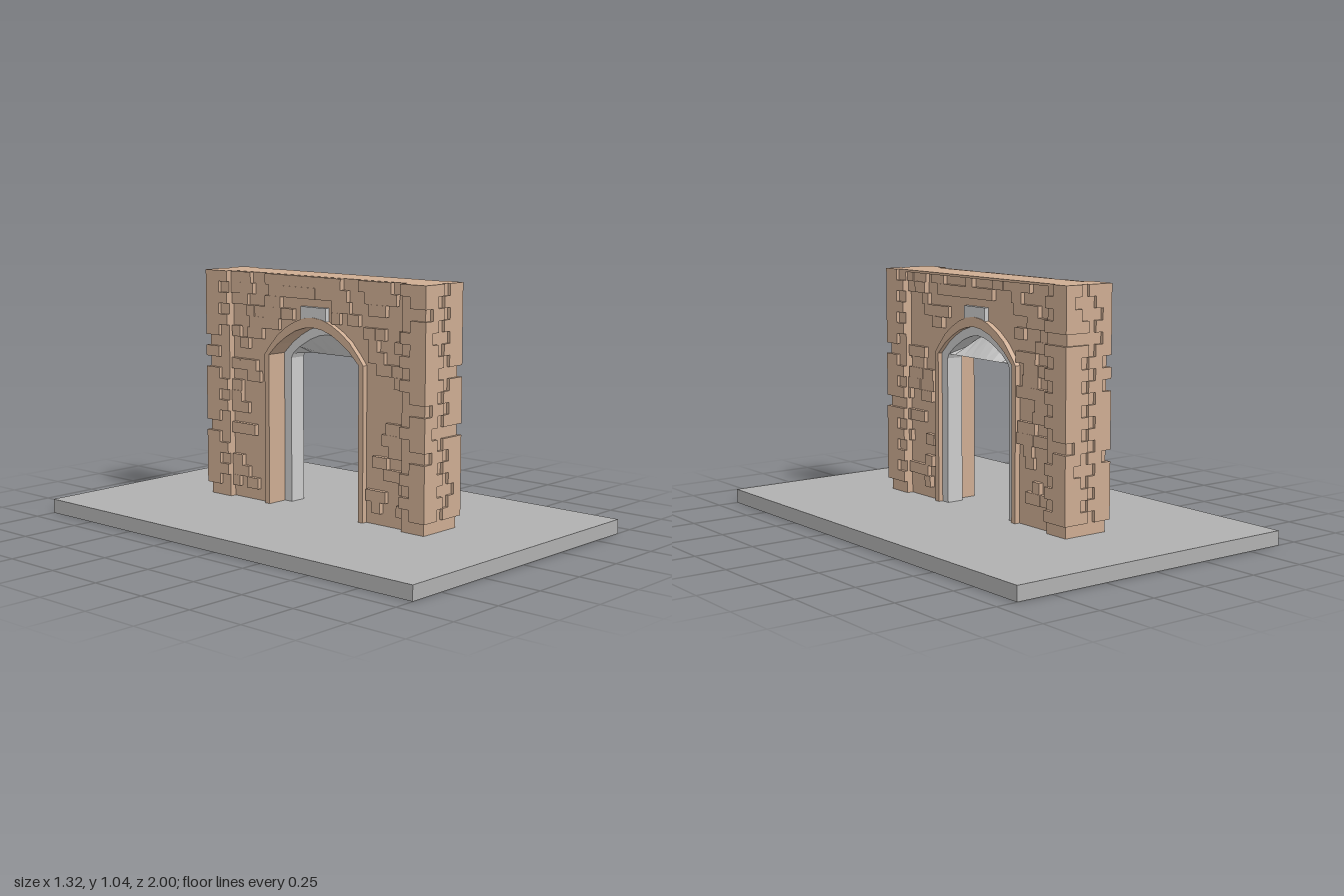
import * as THREE from 'three';
import { mergeGeometries } from 'three/addons/utils/BufferGeometryUtils.js';

export function createModel() {
  const group = new THREE.Group();
  const mat = (color) => new THREE.MeshStandardMaterial({ color, flatShading: true, side: THREE.DoubleSide });
  const stone = mat(0xcdac92), grey = mat(0xcccccc), ground = mat(0xb0b0b0);
  const add = (name, geo, material) => {
    const mesh = new THREE.Mesh(geo, material);
    mesh.name = name;
    group.add(mesh);
    return mesh;
  };
  // Box given by its limits on each axis
  const box = (x0, x1, y0, y1, z0, z1) =>
    new THREE.BoxGeometry(x1 - x0, y1 - y0, z1 - z0).translate((x0 + x1) / 2, (y0 + y1) / 2, (z0 + z1) / 2);
  let seed = 11;
  const rand = () => (seed = (seed * 16807) % 2147483647) / 2147483647;

  const FLOOR = 0.06, TOP = 1.04, FACE = 0.072;

  // Half arch curves (z, y), springing to apex
  const innerArch = [[0.21, 0.68], [0.2, 0.7], [0.16, 0.733], [0.1, 0.768], [0.05, 0.787], [0, 0.795]];
  const outerArch = [[0.25, 0.7], [0.2, 0.748], [0.15, 0.783], [0.1, 0.81], [0.05, 0.826], [0, 0.832]];
  const trimArch = [[0.275, 0.7], [0.25, 0.732], [0.2, 0.787], [0.15, 0.823], [0.1, 0.85], [0.05, 0.867], [0, 0.873]];
  // Full outline of an opening from floor to floor
  const outline = (half) => {
    const right = [[half[0][0], FLOOR], ...half];
    const left = right.slice(0, -1).reverse().map(([z, y]) => [-z, y]);
    return [...right, ...left].map(([z, y]) => new THREE.Vector2(z, y));
  };
  // Extrudes a profile in the z-y plane along x from x0 to x1
  const extrude = (points, x0, x1) =>
    new THREE.ExtrudeGeometry(new THREE.Shape(points), { depth: x1 - x0, bevelEnabled: false })
      .rotateY(Math.PI / 2).translate(x0, 0, 0);
  const band = (outer, inner, x0, x1) => extrude([...outline(outer), ...outline(inner).reverse()], x0, x1);

  // Ground slab
  add('groundSlab', box(-0.66, 0.66, 0, FLOOR, -1, 1), ground);

  // Wall with arched opening, and its top slab overhanging one side
  add('wall', band([[0.48, TOP], [0, TOP]], outerArch, -FACE, FACE), stone);
  add('wallTop', box(-FACE, 0.1, TOP - 0.01, TOP, -0.48, 0.48), stone);

  // Grey inner door frame
  add('doorFrame', band(outerArch, innerArch, 0, 0.075), grey);

  // Sloping panel from the straight line across the doorway up to the arch
  const panel = [];
  const crown = outline(innerArch).slice(2, -2);
  for (let i = 0; i < crown.length - 1; i++) {
    const a = crown[i], b = crown[i + 1];
    panel.push(0.075, 0.7, a.x, 0.075, 0.7, b.x, 0, b.y, b.x);
    panel.push(0.075, 0.7, a.x, 0, b.y, b.x, 0, a.y, a.x);
  }
  const panelGeo = new THREE.BufferGeometry();
  panelGeo.setAttribute('position', new THREE.Float32BufferAttribute(panel, 3));
  panelGeo.computeVertexNormals();
  add('archPanel', panelGeo, grey);

  // Raised moulding and keystone on both faces
  for (const [x0, x1] of [[-0.095, -FACE], [FACE, 0.095]]) {
    add('archMoulding', band(trimArch, outerArch, x0, x1), stone);
  }
  add('keystone', box(-0.092, 0.092, 0.833, 0.915, -0.07, 0.07), grey);

  // End pillars
  for (const s of [-1, 1]) {
    add('pillar', box(-0.1, 0.1, FLOOR, TOP, Math.min(s * 0.48, s * 0.595), Math.max(s * 0.48, s * 0.595)), stone);
  }

  // Height of the moulding above a given z
  const trimHeight = (z) => {
    if (z >= 0.275) return 0;
    const i = trimArch.findIndex((p) => p[0] <= z);
    const [za, ya] = trimArch[Math.max(i - 1, 0)], [zb, yb] = trimArch[i];
    return za === zb ? ya : ya + ((yb - ya) * (za - z)) / (za - zb);
  };

  // Raised bricks on both wall faces, keeping clear of the arch and keystone
  const bricks = [], ROW = 0.0465, FIRST = 0.11;
  for (const s of [-1, 1]) {
    for (let r = 0; r < 20; r++) {
      const y0 = FIRST + r * ROW, y1 = Math.min(y0 + ROW, TOP - 0.001);
      let z = -0.475;
      while (z < 0.46) {
        const z1 = Math.min(z + 0.04 + 0.07 * rand(), 0.475);
        const near = z * z1 < 0 ? 0 : Math.min(Math.abs(z), Math.abs(z1));
        const blocked = y0 < trimHeight(near) || (near < 0.07 && y0 < 0.915);
        if (!blocked && rand() < 0.55) {
          const out = 0.088 + 0.006 * rand();
          bricks.push(s > 0 ? box(FACE - 0.01, out, y0, y1, z, z1) : box(-out, 0.01 - FACE, y0, y1, z, z1));
        }
        z = z1;
      }
    }
  }
  add('wallBricks', mergeGeometries(bricks), stone);

  // Alternating corner stones and end-face bricks on the pillars
  const quoins = [];
  for (const s of [-1, 1]) {
    const zBox = (x0, x1, y0, y1, a, b) => box(x0, x1, y0, y1, Math.min(s * a, s * b), Math.max(s * a, s * b));
    for (let r = 0; r < 20; r++) {
      const y0 = FIRST + r * ROW, y1 = Math.min(y0 + ROW, TOP);
      for (const side of [-1, 1]) {
        const span = (a, b) => (side > 0 ? [a, b] : [-b, -a]);
        const long = (r + (side > 0 ? 1 : 0)) % 2 === 0;
        if (r === 19 || rand() < 0.8) {
          quoins.push(zBox(...span(long ? 0.035 : 0.07, 0.115), y0, y1, long ? 0.53 : 0.48, 0.608));
        }
        if (!long && rand() < 0.7) quoins.push(zBox(...span(0, 0.07), y0, y1, 0.59, 0.608));
      }
    }
  }
  add('pillarBricks', mergeGeometries(quoins), stone);

  return group;
}
